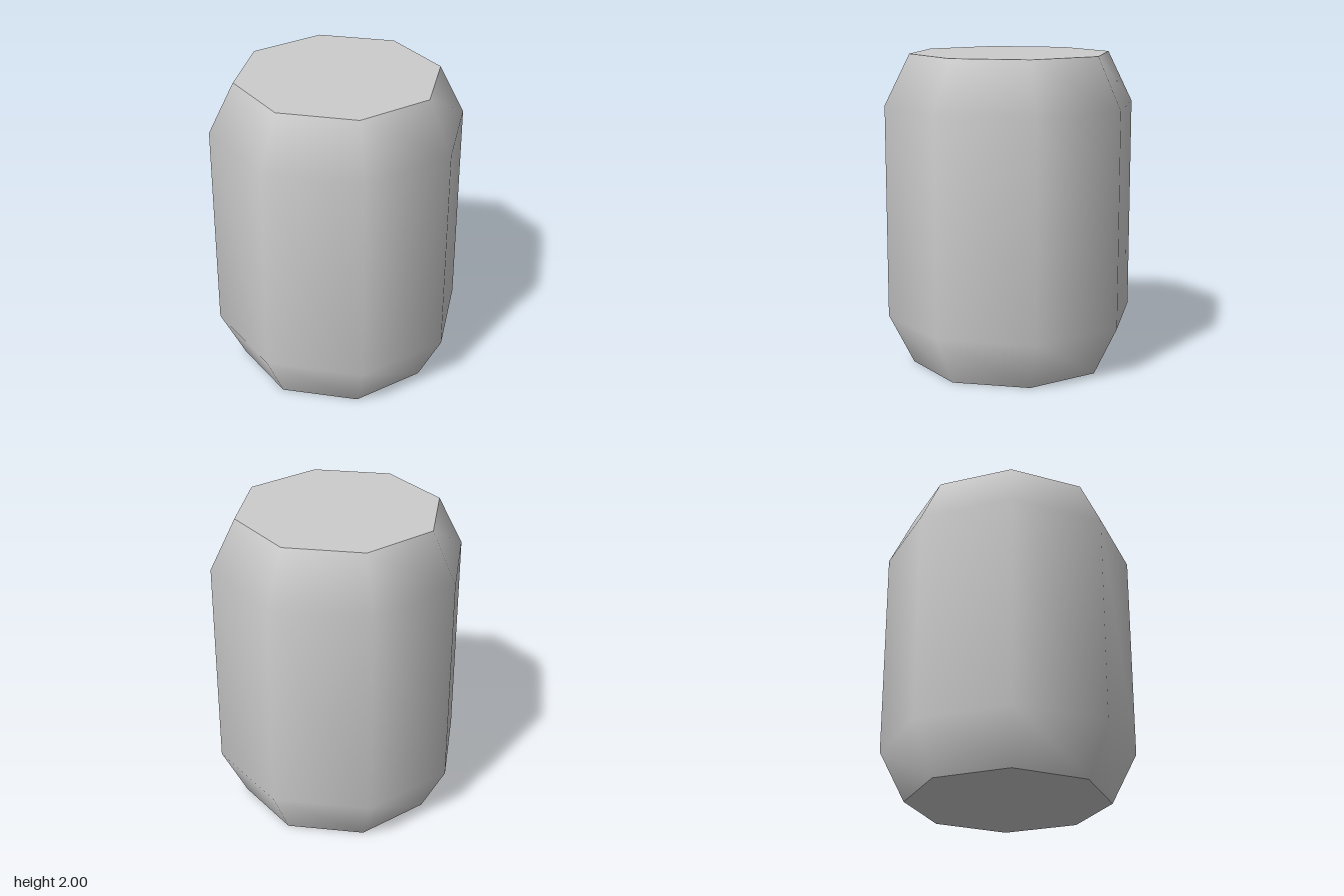
import * as THREE from 'three';

const SIDES = 8;
const BODY_RADIUS = 0.8;
const END_RADIUS = 0.64;
const HEIGHT = 2;
const TAPER = 0.32;

export function createModel() {
  const group = new THREE.Group();
  group.name = 'barrel';
  const grey = new THREE.MeshStandardMaterial({ color: 0xcccccc });
  grey.name = 'light grey';

  const add = (name, geometry) => {
    const mesh = new THREE.Mesh(geometry, grey);
    mesh.name = name;
    group.add(mesh);
    return mesh;
  };

  // Eight-sided wall with tapered ends, smooth shaded
  const profile = [
    [END_RADIUS, 0],
    [BODY_RADIUS, TAPER],
    [BODY_RADIUS, HEIGHT - TAPER],
    [END_RADIUS, HEIGHT],
  ].map(([r, y]) => new THREE.Vector2(r, y));
  add('wall', new THREE.LatheGeometry(profile, SIDES));

  // Flat caps with sharp rims
  const topCap = add('topCap', new THREE.CircleGeometry(END_RADIUS, SIDES));
  topCap.rotation.x = -Math.PI / 2;
  topCap.position.y = HEIGHT;
  const bottomCap = add('bottomCap', new THREE.CircleGeometry(END_RADIUS, SIDES));
  bottomCap.rotation.x = Math.PI / 2;

  return group;
}
